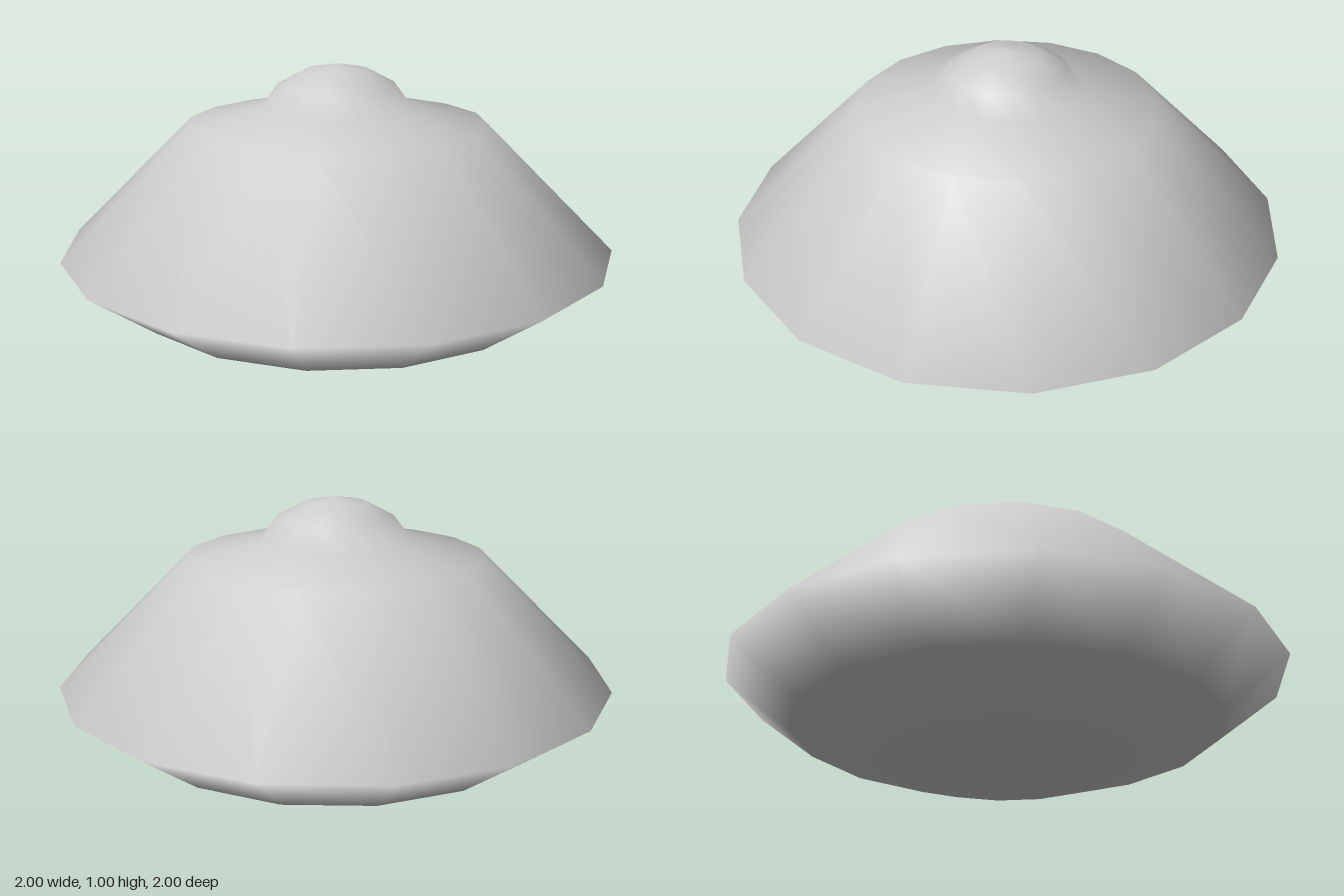
import * as THREE from 'three';

const SIDES = 16;

export function createModel() {
  const group = new THREE.Group();
  group.name = 'flyingSaucer';

  // Profile from the bottom pole up to the top of the cockpit bump
  const profile = [
    // shallow bowl underneath
    [0, 0.005], [0.414, 0.047], [0.765, 0.164],
    // sharp rim
    [1, 0.34],
    // sloping hull and shoulder
    [0.54, 0.793], [0.272, 0.848],
    // rounded bump on top
    [0.213, 0.926], [0.113, 0.979], [0, 1],
  ].map(([r, y]) => new THREE.Vector2(r, y - 0.005));

  // One smooth skin with sixteen sides
  const body = new THREE.Mesh(
    new THREE.LatheGeometry(profile, SIDES),
    new THREE.MeshStandardMaterial({ color: 0xcccccc })
  );
  body.name = 'saucerBody';
  group.add(body);

  return group;
}
